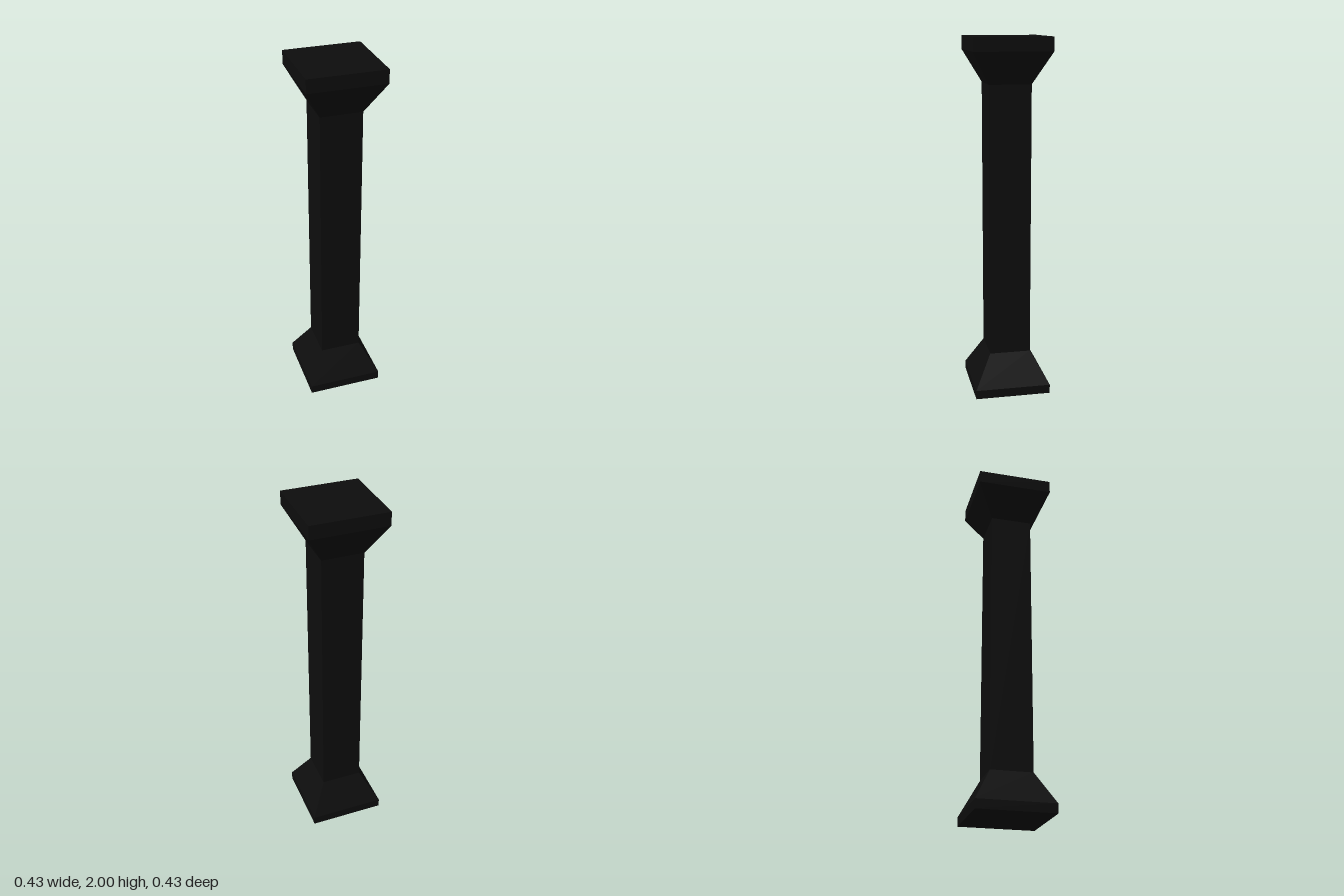
import * as THREE from 'three';

export function createModel() {
  const model = new THREE.Group();
  model.name = 'squareColumn';
  const blackStone = new THREE.MeshStandardMaterial({ color: 0x0d0d0d, flatShading: true });
  blackStone.name = 'blackStone';

  const PLATE = 0.213; // half width of base and cap plates
  const SHAFT = 0.116; // half width of the shaft

  // Square section between two heights, with its own half width at each end
  function section(name, y0, y1, half0, half1, open) {
    const geometry = new THREE.CylinderGeometry(
      half1 * Math.SQRT2, half0 * Math.SQRT2, y1 - y0, 4, 1, open);
    geometry.rotateY(Math.PI / 4);
    const mesh = new THREE.Mesh(geometry, blackStone);
    mesh.name = name;
    mesh.position.y = (y0 + y1) / 2;
    model.add(mesh);
  }

  section('basePlate', 0, 0.05, PLATE, PLATE, false);
  section('baseFlare', 0.05, 0.228, PLATE, SHAFT, true);
  section('shaft', 0.228, 1.75, SHAFT, SHAFT, true);
  section('capitalFlare', 1.75, 1.925, SHAFT, PLATE, true);
  section('capitalPlate', 1.925, 2, PLATE, PLATE, false);

  // The column stands very slightly turned
  model.rotation.y = 0.012;
  return model;
}
